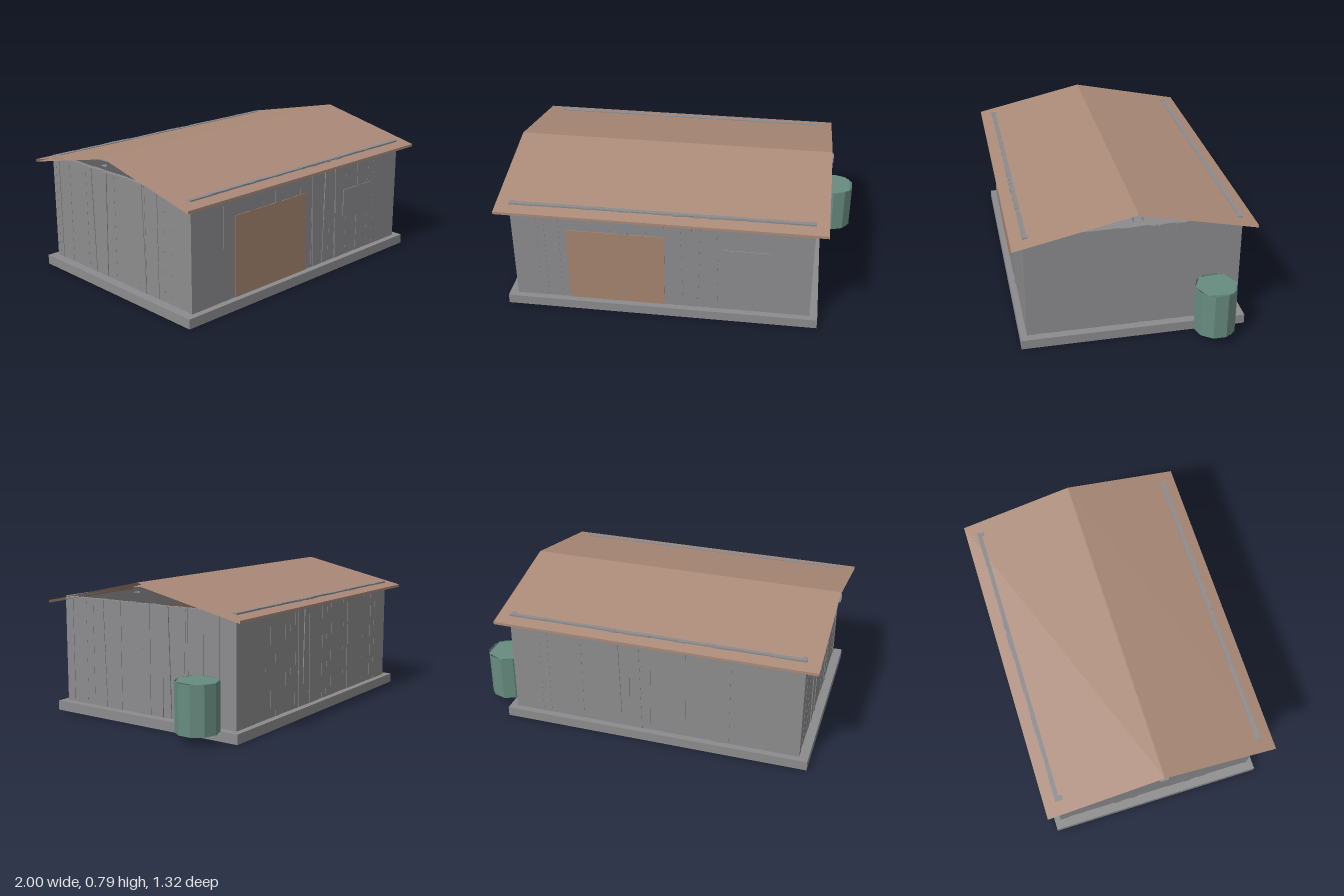
import * as THREE from 'three';

export function createModel() {
  const root = new THREE.Group();
  const mat = (name, color, side = THREE.FrontSide) => {
    const m = new THREE.MeshStandardMaterial({ color, side });
    m.name = name;
    return m;
  };
  const grey = mat('weathered grey', 0x8c8c8e);
  const greySheet = mat('grey beam', 0x8c8c8e, THREE.DoubleSide);
  const roofBrown = mat('roof brown', 0xab8a78, THREE.DoubleSide);
  const doorBrown = mat('door brown', 0xa58470);
  const green = mat('barrel green', 0x688c7f, THREE.DoubleSide);

  let seed = 7;
  const rand = () => (seed = (seed * 16807) % 2147483647) / 2147483647;

  const add = (parent, name, geo, m, x = 0, y = 0, z = 0) => {
    const mesh = new THREE.Mesh(geo, m);
    mesh.name = name;
    mesh.position.set(x, y, z);
    parent.add(mesh);
    return mesh;
  };

  // Box given by its limits
  const slab = (parent, name, m, x0, x1, y0, y1, z0, z1) =>
    add(parent, name, new THREE.BoxGeometry(x1 - x0, y1 - y0, z1 - z0), m,
      (x0 + x1) / 2, (y0 + y1) / 2, (z0 + z1) / 2);

  // Closed [z, y] outline swept along x, open at both ends
  const sleeve = (outline, x0, x1) => {
    const pos = [];
    outline.forEach(([z, y], i) => {
      const [z2, y2] = outline[(i + 1) % outline.length];
      pos.push(x0, y, z, x1, y, z, x1, y2, z2, x0, y, z, x1, y2, z2, x0, y2, z2);
    });
    const geo = new THREE.BufferGeometry();
    geo.setAttribute('position', new THREE.Float32BufferAttribute(pos, 3));
    geo.computeVertexNormals();
    return geo;
  };

  const FLOOR = 0.055, TOP = 0.67;
  slab(root, 'foundation', grey, -0.97, 0.815, 0, FLOOR, -0.63, 0.63);

  // Row of upright boards from u0 to u1; outer face near local z = 0
  const boards = (parent, u0, u1, y0, y1, count) => {
    const w = (u1 - u0) / count;
    for (let i = 0; i < count; i++) {
      const out = -0.004 * rand();
      slab(parent, 'board', grey, u0 + i * w, u0 + (i + 1) * w, y0, y1 - 0.003 * rand(), -0.026, out);
    }
  };
  // Loose boards leaning slightly to one side
  const leaning = (parent, spots) => spots.forEach((u, i) => {
    const b = slab(parent, 'leaningBoard', grey, u - 0.022, u + 0.022, FLOOR + 0.002, TOP - 0.005, -0.02, 0.002);
    b.rotation.z = (i % 2 ? -1 : 1) * 0.03;
  });
  const wall = (name, x, z, turn) => {
    const g = new THREE.Group();
    g.name = name;
    g.position.set(x, 0, z);
    g.rotation.y = turn;
    root.add(g);
    return g;
  };

  // Front wall with doorway and boarded window
  const front = wall('frontWall', 0, 0.595, 0);
  boards(front, -0.92, -0.775, FLOOR, TOP, 1);
  boards(front, -0.775, -0.61, FLOOR, TOP, 4);
  boards(front, -0.61, -0.055, 0.515, TOP, 11);
  boards(front, -0.055, 0.6, FLOOR, TOP, 13);
  boards(front, 0.6, 0.77, FLOOR, TOP, 1);
  leaning(front, [0.02, 0.12, 0.22]);
  slab(front, 'windowBoard', grey, 0.27, 0.54, 0.305, 0.46, -0.02, 0.002);
  slab(front, 'door', doorBrown, -0.61, -0.055, FLOOR, 0.515, -0.02, 0.001);

  // Back wall
  const back = wall('backWall', 0, -0.595, Math.PI);
  boards(back, -0.77, -0.6, FLOOR, TOP, 1);
  boards(back, -0.6, 0.775, FLOOR, TOP, 27);
  boards(back, 0.775, 0.92, FLOOR, TOP, 1);
  leaning(back, [-0.14, -0.08, -0.02]);

  // End walls, level at the top with open gables
  const right = wall('leftEndWall', 0.77, 0, Math.PI / 2);
  boards(right, -0.59, 0.59, FLOOR, TOP, 23);
  leaning(right, [-0.32, 0.1, 0.14, 0.24]);
  const left = wall('rightEndWall', -0.92, 0, -Math.PI / 2);
  boards(left, -0.59, 0.59, FLOOR, TOP, 23);
  leaning(left, [-0.24, -0.12, 0.2]);

  // Roof and ridge beam
  add(root, 'roof', sleeve([[0.66, 0.63], [0.66, 0.645], [0, 0.79],
    [-0.66, 0.645], [-0.66, 0.63], [0, 0.775]], -0.995, 0.84), roofBrown);
  add(root, 'ridgeBeam', sleeve([[0.025, 0.738], [0.025, 0.768],
    [-0.025, 0.768], [-0.025, 0.738]], -1, 0.848), greySheet);

  // Ten-sided barrel with plain six-cornered lid and base
  const barrel = new THREE.Group();
  barrel.name = 'barrel';
  barrel.position.set(0.885, 0, -0.43);
  root.add(barrel);
  const R = 0.118;
  const side = new THREE.CylinderGeometry(R, R, 0.27, 10, 1, true).toNonIndexed();
  side.computeVertexNormals();
  add(barrel, 'barrelSide', side, green, 0, 0.19, 0);
  const disc = new THREE.ShapeGeometry(new THREE.Shape([90, 144, 216, 270, 324, 396].map(d => {
    const a = THREE.MathUtils.degToRad(d);
    return new THREE.Vector2(R * Math.cos(a), R * Math.sin(a));
  })));
  add(barrel, 'barrelLid', disc, green, 0, 0.325, 0).rotation.x = -Math.PI / 2;
  add(barrel, 'barrelBase', disc, green, 0, 0.057, 0).rotation.x = Math.PI / 2;

  return root;
}
